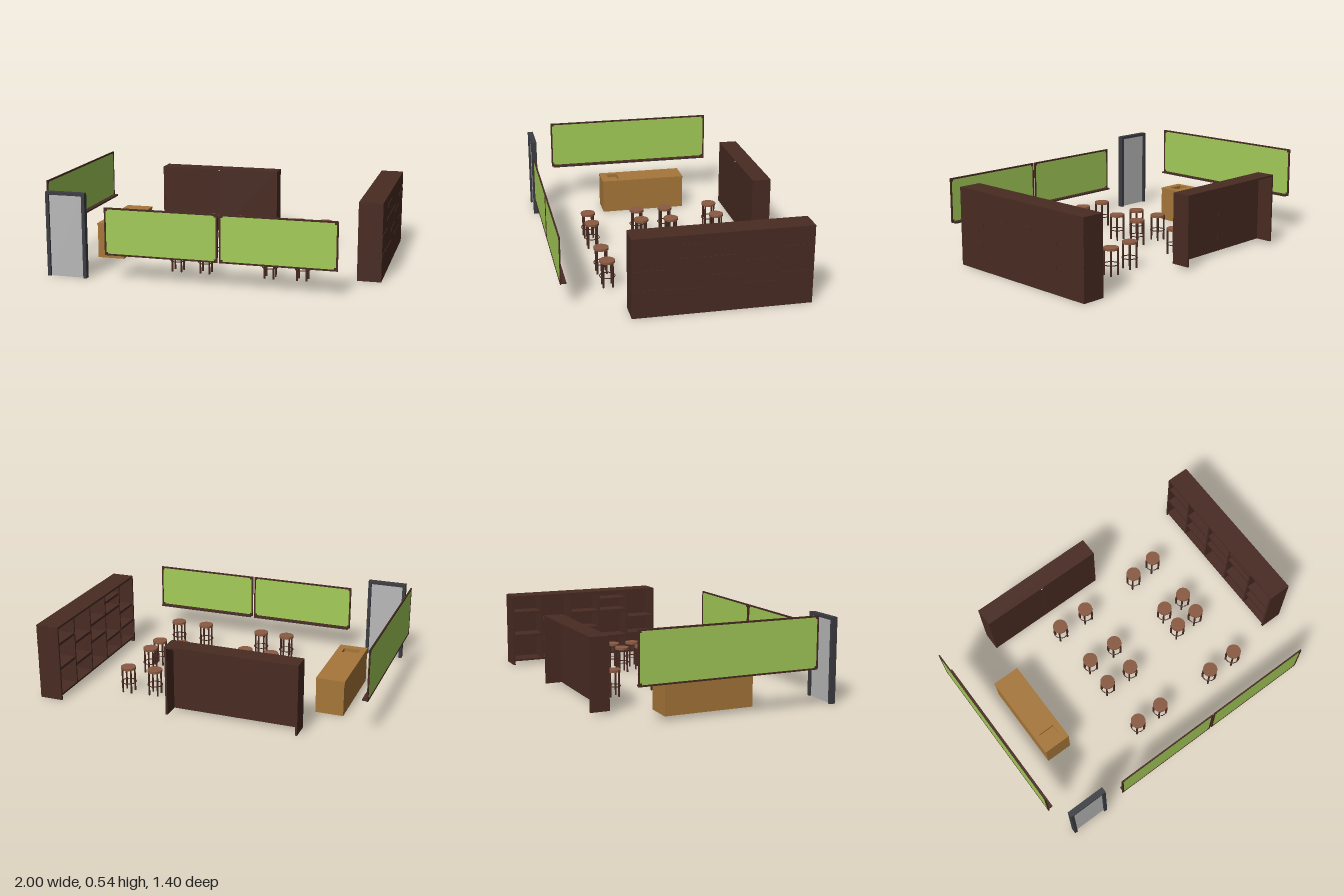
import * as THREE from 'three';

const mat = (name, color) => {
  const m = new THREE.MeshStandardMaterial({ color });
  m.name = name;
  return m;
};

export function createModel() {
  const darkWood = mat('dark wood', 0x482b22);
  const seatWood = mat('seat wood', 0x8a5a42);
  const oak = mat('oak', 0xa67639);
  const green = mat('green board', 0xa4cc58);
  const glass = mat('pale grey glass', 0xb9b9b9);
  const steel = mat('dark grey metal', 0x3c3d42);

  const model = new THREE.Group();
  model.name = 'room furniture';

  const group = (name) => {
    const g = new THREE.Group();
    g.name = name;
    model.add(g);
    return g;
  };
  // Box given by its extents on each axis
  const box = (parent, name, material, x0, x1, y0, y1, z0, z1) => {
    const mesh = new THREE.Mesh(new THREE.BoxGeometry(x1 - x0, y1 - y0, z1 - z0), material);
    mesh.position.set((x0 + x1) / 2, (y0 + y1) / 2, (z0 + z1) / 2);
    mesh.name = name;
    parent.add(mesh);
    return mesh;
  };

  // Bookcase, open towards -x, with staggered shelves passing through its back
  const bookcase = group('bookcase');
  const zFront = 0.335, zBack = -0.7, t = 0.012;
  box(bookcase, 'backPanel', darkWood, 0.985, 0.997, 0, 0.47, zBack, zFront);
  box(bookcase, 'topPanel', darkWood, 0.855, 0.997, 0.458, 0.47, zBack, zFront);
  box(bookcase, 'bottomShelf', darkWood, 0.858, 0.99, 0.025, 0.037, zBack + t, zFront - t);
  box(bookcase, 'endPanel', darkWood, 0.855, 0.997, 0, 0.459, zBack, zBack + t);
  box(bookcase, 'endPanel', darkWood, 0.855, 0.997, 0, 0.459, zFront - t, zFront);
  const bay = (zFront - zBack) / 5;
  const shelfHeights = [[0.155, 0.27], [0.146, 0.329, 0.41], [0.217, 0.329], [0.151, 0.292], [0.198, 0.354]];
  shelfHeights.forEach((heights, i) => {
    const z1 = zFront - i * bay, z0 = z1 - bay;
    if (i > 0) box(bookcase, 'divider', darkWood, 0.857, 0.99, 0.03, 0.46, z1 - 0.005, z1 + 0.005);
    for (const y of heights) {
      box(bookcase, 'shelf', darkWood, 0.86, 1, y - 0.008, y + 0.008, z0 + 0.002, z1 - 0.002);
    }
  });

  // Back cabinet: two front panels, ends and a top, open at the rear
  const cabinet = group('backCabinet');
  box(cabinet, 'topPanel', darkWood, -0.635, 0.168, 0.435, 0.447, -0.7, -0.585);
  for (const [x0, x1] of [[-0.635, -0.623], [0.156, 0.168]]) {
    box(cabinet, 'endPanel', darkWood, x0, x1, 0.02, 0.436, -0.7, -0.585);
  }
  for (const [x0, x1] of [[-0.623, -0.235], [-0.233, 0.156]]) {
    box(cabinet, 'frontPanel', darkWood, x0, x1, 0.02, 0.436, -0.598, -0.586);
  }
  box(cabinet, 'seamBacking', darkWood, -0.24, -0.228, 0.02, 0.436, -0.599, -0.59);
  box(cabinet, 'latch', glass, -0.24, -0.23, 0.436, 0.442, -0.587, -0.581);

  // Counter: hollow body, top with a cut-out and a basin beneath it
  const counter = group('counter');
  const cx0 = -0.805, cx1 = -0.63, cz0 = -0.325, cz1 = 0.23;
  const topShape = new THREE.Shape();
  topShape.moveTo(cx0, -cz1).lineTo(cx1, -cz1).lineTo(cx1, -cz0).lineTo(cx0, -cz0).closePath();
  const cut = new THREE.Path();
  cut.moveTo(-0.77, -0.182).lineTo(-0.77, -0.113).lineTo(-0.668, -0.113).lineTo(-0.668, -0.182).closePath();
  topShape.holes.push(cut);
  const topGeometry = new THREE.ExtrudeGeometry(topShape, { depth: 0.014, bevelEnabled: false });
  topGeometry.rotateX(-Math.PI / 2);
  const counterTop = new THREE.Mesh(topGeometry, oak);
  counterTop.name = 'counterTop';
  counterTop.position.y = 0.206;
  counter.add(counterTop);
  box(counter, 'basin', oak, -0.775, -0.663, 0.19, 0.198, 0.108, 0.187);
  for (const [x0, x1] of [[-0.775, -0.77], [-0.668, -0.663]]) {
    box(counter, 'basinWall', oak, x0, x1, 0.19, 0.206, 0.108, 0.187);
  }
  for (const [z0, z1] of [[0.108, 0.113], [0.182, 0.187]]) {
    box(counter, 'basinWall', oak, -0.77, -0.668, 0.19, 0.206, z0, z1);
  }
  for (const [x0, x1] of [[cx0 + 0.003, cx0 + 0.013], [cx1 - 0.012, cx1 - 0.002]]) {
    box(counter, 'longPanel', oak, x0, x1, 0, 0.206, cz0 + 0.002, cz1 - 0.002);
  }
  for (const [z0, z1] of [[cz0 + 0.002, cz0 + 0.012], [cz1 - 0.012, cz1 - 0.002]]) {
    box(counter, 'endPanel', oak, cx0 + 0.013, cx1 - 0.012, 0, 0.206, z0, z1);
  }

  // Framed board facing +z with a ledge behind it, built about its bottom centre
  const makeBoard = (name, w, h) => {
    const g = group(name);
    const x = w / 2, f = 0.01;
    box(g, 'panel', green, -x + 0.004, x - 0.004, 0.004, h - 0.004, -0.002, 0.002);
    box(g, 'topRail', darkWood, -x, x, h - f, h, -0.004, 0.004);
    box(g, 'bottomRail', darkWood, -x, x, 0, f, -0.004, 0.004);
    for (const s of [-1, 1]) {
      const edge = s * (x - f / 2), corner = s * (x - 0.014);
      box(g, 'sideRail', darkWood, edge - f / 2, edge + f / 2, f, h - f, -0.004, 0.004);
      for (const y of [0.014, h - 0.014]) {
        const block = box(g, 'cornerBlock', darkWood, -0.006, 0.006, -0.006, 0.006, -0.0038, 0.0038);
        block.position.set(corner, y, 0);
      }
    }
    box(g, 'ledge', darkWood, -x + 0.008, x - 0.008, 0.003, 0.009, -0.032, -0.003);
    box(g, 'ledgeUnderside', steel, -x + 0.008, x - 0.008, -0.001, 0.003, -0.032, -0.003);
    return g;
  };
  makeBoard('frontBoardRight', 0.68, 0.284).position.set(-0.23, 0.151, 0.696);
  makeBoard('frontBoardLeft', 0.68, 0.284).position.set(0.46, 0.151, 0.696);
  const sideBoard = makeBoard('sideBoard', 1.1, 0.31);
  sideBoard.position.set(-0.996, 0.23, -0.015);
  sideBoard.rotation.y = -Math.PI / 2;

  // Door with a glazed leaf
  const door = group('door');
  box(door, 'jamb', steel, -0.935, -0.915, 0, 0.51, 0.665, 0.7);
  box(door, 'jamb', steel, -0.71, -0.69, 0, 0.51, 0.665, 0.7);
  box(door, 'lintel', steel, -0.915, -0.71, 0.492, 0.51, 0.665, 0.7);
  box(door, 'glassLeaf', glass, -0.915, -0.71, 0, 0.492, 0.678, 0.687);

  // Round stools with four legs and a foot ring
  const seatGeometry = new THREE.CylinderGeometry(0.046, 0.046, 0.014, 24);
  const legGeometry = new THREE.CylinderGeometry(0.006, 0.006, 0.152, 8);
  const ringGeometry = new THREE.TorusGeometry(0.045, 0.003, 6, 24).rotateX(Math.PI / 2);
  const spots = [
    [-0.24, -0.41], [-0.04, -0.41], [0.36, -0.42], [0.53, -0.435],
    [-0.22, -0.11], [-0.03, -0.11], [0.375, -0.105], [0.53, -0.11],
    [-0.22, 0.075], [-0.045, 0.08], [0.375, 0.035], [0.525, 0.03],
    [-0.22, 0.395], [-0.045, 0.395], [0.35, 0.4], [0.545, 0.395],
  ];
  for (const [x, z] of spots) {
    const stool = group('stool');
    stool.position.set(x, 0, z);
    const add = (name, geometry, material, px, py, pz) => {
      const mesh = new THREE.Mesh(geometry, material);
      mesh.name = name;
      mesh.position.set(px, py, pz);
      stool.add(mesh);
    };
    add('seat', seatGeometry, seatWood, 0, 0.158, 0);
    add('footRing', ringGeometry, darkWood, 0, 0.065, 0);
    for (const sx of [-1, 1]) {
      for (const sz of [-1, 1]) add('leg', legGeometry, darkWood, sx * 0.028, 0.076, sz * 0.028);
    }
  }

  return model;
}
